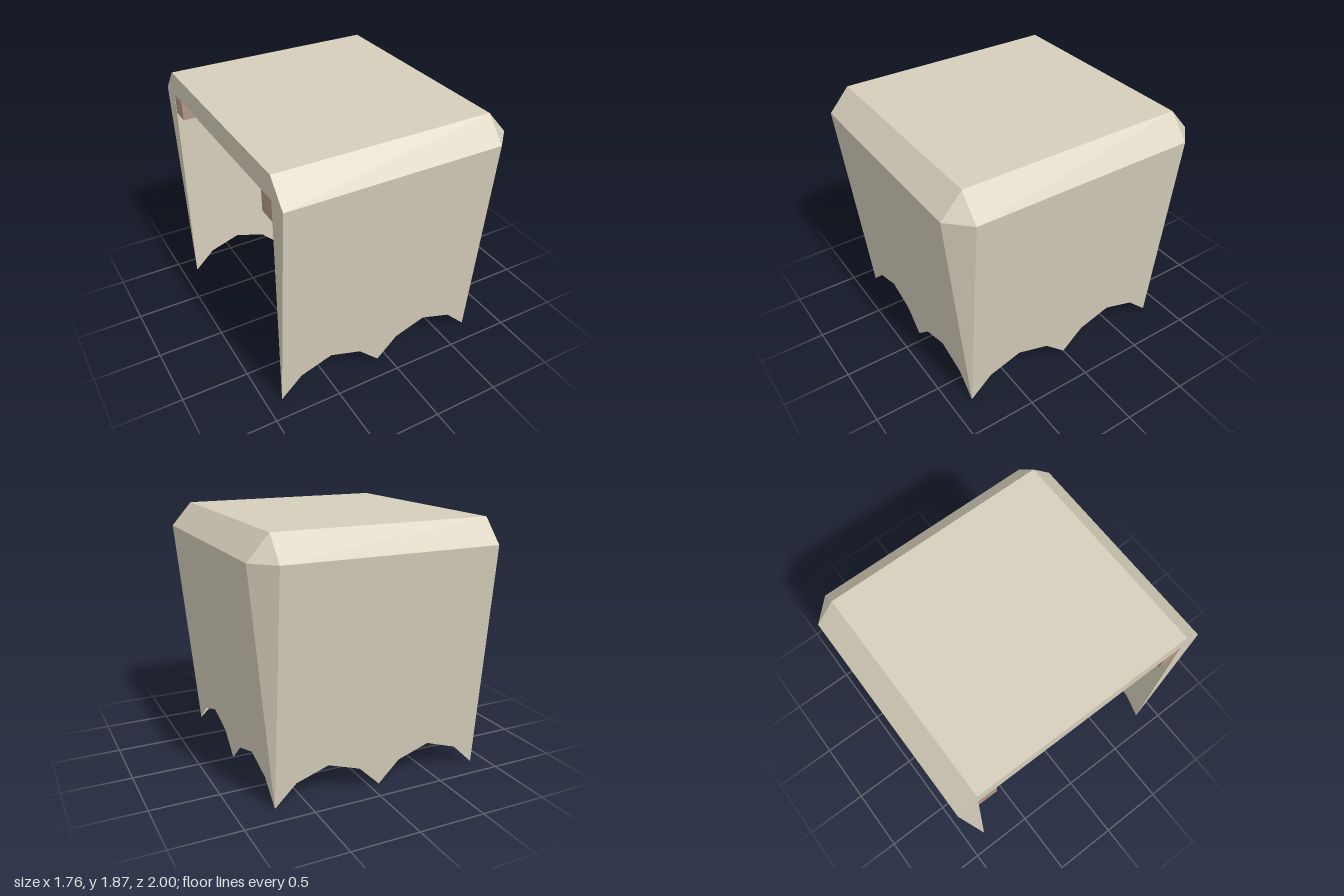
import * as THREE from 'three';

const X = 0.7275, X0 = -0.8825, Z = 0.845; // drape corners and open end
const OUT = 0.155, EDGE = 1.69, TOP = 1.865; // flare, shoulder height, top height

export function createModel() {
  const cloth = new THREE.MeshStandardMaterial({ color: 0xd6cebb });
  cloth.name = 'cream cloth';
  const wood = new THREE.MeshStandardMaterial({ color: 0xb4978a });
  wood.name = 'brown wood';
  const group = new THREE.Group();
  group.name = 'drapedTable';

  const add = (name, geo, mat = cloth) => {
    const mesh = new THREE.Mesh(geo, mat);
    mesh.name = name;
    group.add(mesh);
    return mesh;
  };

  // Strip of quads between a lower and an upper row of points, seen from outside
  const strip = (name, low, high) => {
    const n = low.length, index = [];
    for (let i = 0; i < n - 1; i++) index.push(i, i + 1, n + i + 1, i, n + i + 1, n + i);
    const geo = new THREE.BufferGeometry().setFromPoints([...low, ...high]);
    geo.setIndex(index);
    geo.computeVertexNormals();
    add(name, geo);
  };
  const triangle = (name, a, b, c) => {
    const geo = new THREE.BufferGeometry().setFromPoints([a, b, c]);
    geo.computeVertexNormals();
    add(name, geo);
  };

  // Scalloped hem: position along one side and height
  const scallop = [[0, 0], [0.2, 0.155], [0.5, 0.235], [0.8, 0.155]];
  const hem = [0, 1].flatMap(k => scallop.map(([t, y]) => [(k + t) / 2, y]));
  hem.push([1, 0]);

  // One hanging side from corner a to corner b, with its bevel and lining
  const side = (name, a, b, n) => {
    const at = (t, y, o = 0) => new THREE.Vector3(
      a[0] + (b[0] - a[0]) * t + n[0] * o, y, a[1] + (b[1] - a[1]) * t + n[1] * o);
    const low = hem.map(([t, y]) => at(t, y));
    strip(name + 'Drape', low, hem.map(([t]) => at(t, EDGE, OUT)));
    strip(name + 'Bevel', [at(0, EDGE, OUT), at(1, EDGE, OUT)], [at(0, TOP), at(1, TOP)]);
    strip(name + 'Lining', [...low].reverse(), hem.map(([t]) => at(t, EDGE)).reverse());
  };
  side('front', [X0, Z], [X, Z], [0, 1]);
  side('left', [X, Z], [X, -Z], [1, 0]);
  side('back', [X, -Z], [X0, -Z], [0, -1]);

  // Folded corners
  for (const s of [1, -1]) {
    const name = s > 0 ? 'frontCorner' : 'backCorner';
    const outer = [new THREE.Vector3(X, EDGE, s * (Z + OUT)), new THREE.Vector3(X + OUT, EDGE, s * Z)];
    const [p, q] = s > 0 ? outer : outer.reverse();
    triangle(name + 'Bevel', p, q, new THREE.Vector3(X, TOP, s * Z));
    triangle(name + 'Fold', new THREE.Vector3(X, 0, s * Z), q, p);
  }

  // Top and ceiling
  const top = add('top', new THREE.PlaneGeometry(X - X0, 2 * Z).rotateX(-Math.PI / 2));
  top.position.set((X + X0) / 2, TOP, 0);
  const ceiling = add('ceiling', new THREE.PlaneGeometry(X - X0, 2 * Z).rotateX(Math.PI / 2));
  ceiling.position.set((X + X0) / 2, EDGE, 0);

  // Cut edge around the open end
  const profile = new THREE.Shape([
    [-Z, 0], [-Z, EDGE], [Z, EDGE], [Z, 0], [Z + OUT, EDGE], [Z, TOP], [-Z, TOP], [-Z - OUT, EDGE],
  ].map(([x, y]) => new THREE.Vector2(x, y)));
  add('openEdge', new THREE.ShapeGeometry(profile).rotateY(-Math.PI / 2)).position.x = X0;

  // Wooden rails under the ceiling
  for (const s of [1, -1]) {
    const rail = add(s > 0 ? 'frontRail' : 'backRail', new THREE.BoxGeometry(X - X0 - 0.004, 0.155, 0.145), wood);
    rail.position.set((X + X0) / 2, EDGE - 0.079, s * (Z - 0.0745));
  }
  return group;
}
